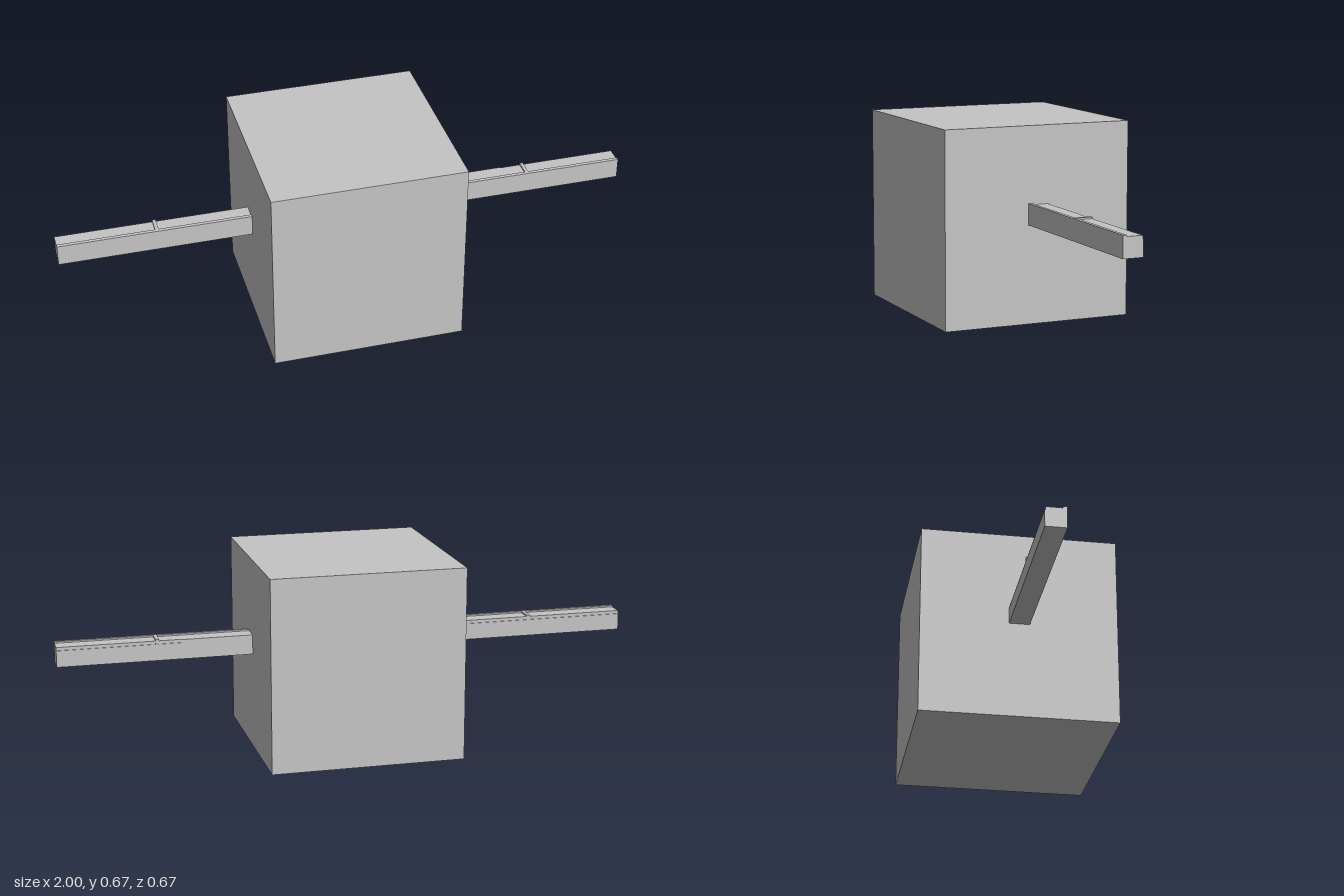
import * as THREE from 'three';

const grey = new THREE.MeshStandardMaterial({ color: 0xc4c4c4 });
grey.name = 'plain grey';

// Rail cross-section: u runs towards the back, v is height.
const plainBack = [[0.035, 0.403]];
const notchedBack = [[0.035, 0.392], [0.032, 0.392], [0.032, 0.403]];
function railSection(x0, x1, back, name) {
  const points = [[-0.035, 0.335], [0.035, 0.335], ...back,
    [-0.022, 0.403], [-0.022, 0.408], [-0.035, 0.408]];
  const shape = new THREE.Shape(points.map(([u, v]) => new THREE.Vector2(u, v)));
  const geometry = new THREE.ExtrudeGeometry(shape, { depth: x1 - x0, bevelEnabled: false });
  geometry.rotateY(Math.PI / 2).translate(x0, 0, 0);
  const mesh = new THREE.Mesh(geometry, grey);
  mesh.name = name;
  return mesh;
}

function box(w, h, d, x, y, z, name) {
  const mesh = new THREE.Mesh(new THREE.BoxGeometry(w, h, d), grey);
  mesh.position.set(x, y, z);
  mesh.name = name;
  return mesh;
}

export function createModel() {
  const model = new THREE.Group();
  model.name = 'cubeWithRails';

  // Central cube
  model.add(box(0.667, 0.667, 0.667, 0, 0.3335, 0, 'cube'));

  // Side rails with a raised front lip and a notched back edge
  model.add(railSection(0.333, 0.58, plainBack, 'leftRailRoot'));
  model.add(railSection(0.58, 1, notchedBack, 'leftRail'));
  model.add(railSection(-1, -0.333, notchedBack, 'rightRail'));

  // Small ridge across the middle of each rail
  for (const side of [-1, 1]) {
    model.add(box(0.012, 0.022, 0.069, side * 0.66, 0.3975, 0, side > 0 ? 'leftRidge' : 'rightRidge'));
  }
  return model;
}
